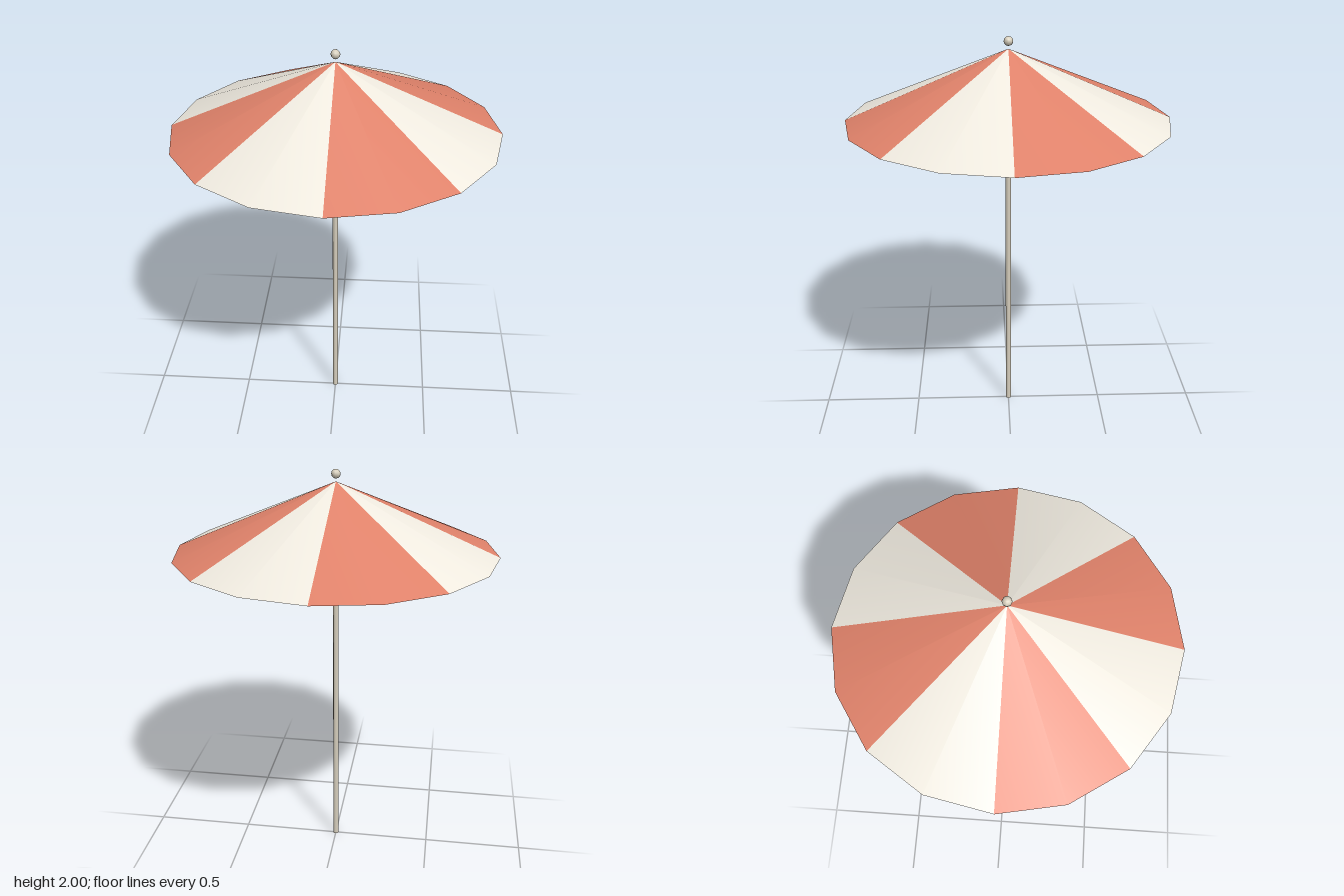
import * as THREE from 'three';

const RIM_RADIUS = 0.77, RIM_Y = 1.613, APEX_Y = 1.943, PANELS = 8;

function addPart(group, name, geometry, color, y, side = THREE.FrontSide) {
  const mesh = new THREE.Mesh(geometry, new THREE.MeshStandardMaterial({ color, side }));
  mesh.name = name;
  mesh.position.y = y;
  group.add(mesh);
}

export function createModel() {
  const parasol = new THREE.Group();
  parasol.name = 'parasol';

  // Slim pole, ending level with the canopy rim
  addPart(parasol, 'pole', new THREE.CylinderGeometry(0.014, 0.014, RIM_Y, 8), 0xd8d0be, RIM_Y / 2);

  // Open canopy of alternating wedges, two facets each
  const canopy = new THREE.Group();
  canopy.name = 'canopy';
  const arc = (Math.PI * 2) / PANELS;
  const height = APEX_Y - RIM_Y;
  for (let i = 0; i < PANELS; i++) {
    const wedge = new THREE.ConeGeometry(RIM_RADIUS, height, 2, 1, true, i * arc, arc);
    addPart(canopy, `canopyPanel${i + 1}`, wedge, i % 2 ? 0xf0ebe0 : 0xe0826a,
      RIM_Y + height / 2, THREE.DoubleSide);
  }
  parasol.add(canopy);

  // Ball finial above the apex
  addPart(parasol, 'finial', new THREE.SphereGeometry(0.022, 8, 6), 0xd8d0be, 1.978);

  return parasol;
}
